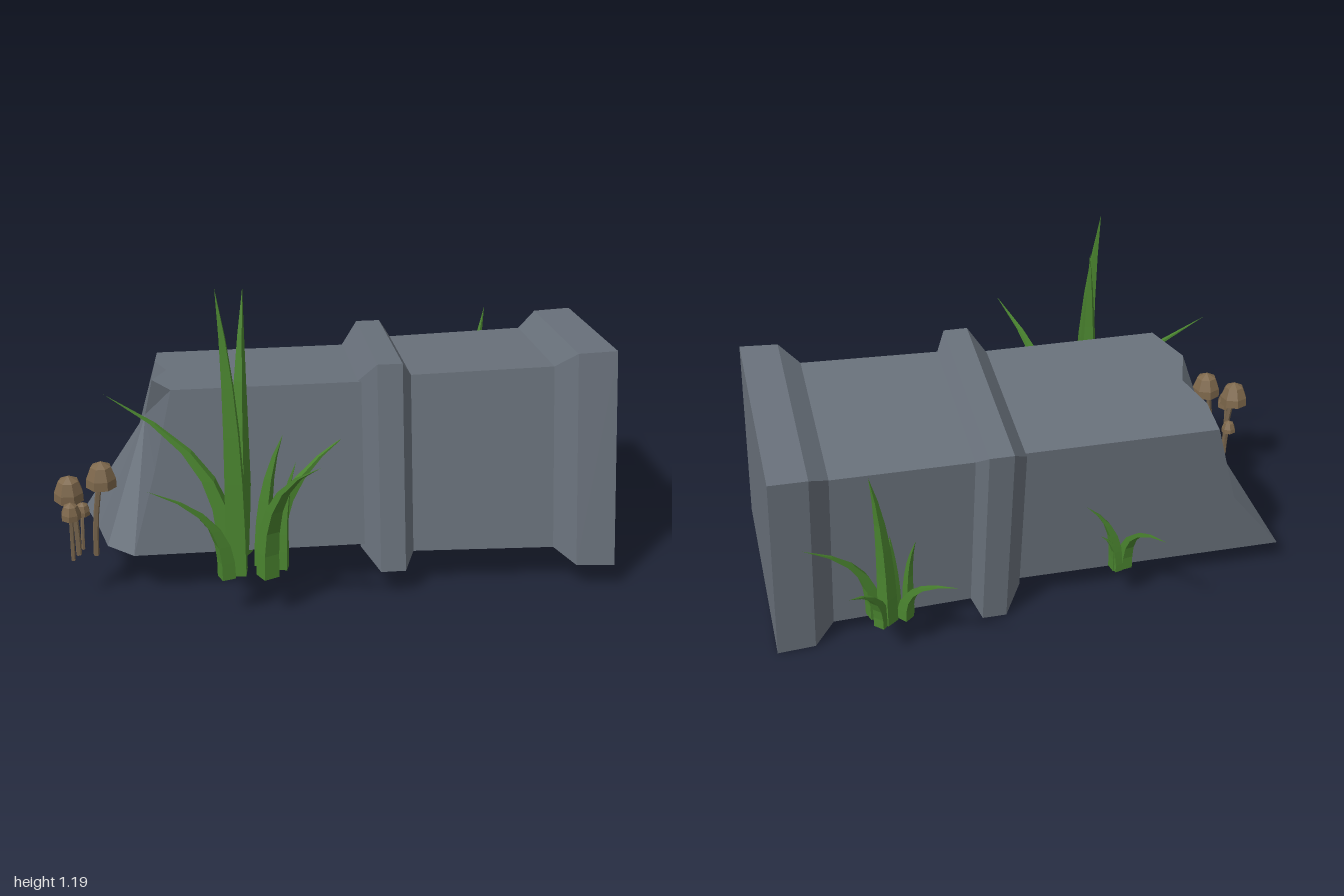
import * as THREE from 'three';

const mat = (color) => new THREE.MeshStandardMaterial({ color, flatShading: true, side: THREE.DoubleSide });
const GROUND = 0.15;

function add(parent, name, geometry, material) {
  const mesh = new THREE.Mesh(geometry, material);
  mesh.name = name;
  parent.add(mesh);
  return mesh;
}

// Square plinth, lower shaft and collar: four-sided lathe of [half width, distance along the column]
function columnBase() {
  const profile = [[0, 0], [0.4, 0], [0.395, 0.14], [0.34, 0.215], [0.33, 0.73], [0.385, 0.765], [0.385, 0.855], [0.31, 0.92]];
  const points = profile.map(([h, w]) => new THREE.Vector2(h * Math.SQRT2, w));
  return new THREE.LatheGeometry(points, 4, Math.PI / 4).rotateX(Math.PI / 2);
}

// Snapped shaft: walls run from the collar to a jagged outline, closed by a fan
function brokenShaft() {
  const back = -0.295, front = 0.325, low = -0.295, top = 0.312;
  const outline = [ // [u, v, distance along the column], counter-clockwise
    [back, top, 1.64], [back, -0.03, 1.74], [back, low, 1.95], [-0.03, low, 1.885], [0.2, low, 1.84], [front, low, 1.74],
    [front, 0.02, 1.65], [front, top, 1.58], [0.16, top, 1.65], [0.01, top, 1.6], [-0.14, top, 1.645],
  ];
  const apex = [-0.09, 0.12, 1.69];
  const pos = [];
  outline.forEach((a, i) => {
    const b = outline[(i + 1) % outline.length];
    const a0 = [a[0], a[1], 0.9], b0 = [b[0], b[1], 0.9];
    pos.push(...a0, ...b0, ...b, ...a0, ...b, ...a, ...a, ...b, ...apex);
  });
  const g = new THREE.BufferGeometry();
  g.setAttribute('position', new THREE.Float32BufferAttribute(pos, 3));
  g.computeVertexNormals();
  return g;
}

// Grass blade: a square rod, tapered to a point and bent outward
function blade([bx, bz], [tx, ty, tz], r) {
  const g = new THREE.CylinderGeometry(1, 1, 1, 4, 6);
  const p = g.attributes.position;
  g.rotateY(Math.atan2(tx - bx, tz - bz) + Math.PI / 4);
  for (let i = 0; i < p.count; i++) {
    const t = p.getY(i) + 0.5;
    const width = r * (1 - Math.pow(t, 1.9));
    const lean = Math.pow(t, 2.8);
    p.setXYZ(i, bx + (tx - bx) * lean + p.getX(i) * width, GROUND + (ty - GROUND) * t, bz + (tz - bz) * lean + p.getZ(i) * width);
  }
  g.computeVertexNormals();
  return g;
}

function mushroom(x, z, top, r, capMat, stemMat, footX, footZ) {
  const group = new THREE.Group();
  group.name = 'mushroom';
  const dome = [[0, 0.35], [0.8, 0.1], [1, 0], [0.98, 0.6], [0.68, 1.4], [0, 1.75]];
  const cap = add(group, 'mushroomCap',
    new THREE.LatheGeometry(dome.map(([a, b]) => new THREE.Vector2(a * r, b * r)), 7), capMat);
  cap.position.set(x, top - 1.75 * r, z);
  cap.rotation.set(0.08, x * 9, -0.06);
  const path = new THREE.QuadraticBezierCurve3(
    new THREE.Vector3(footX, GROUND + 0.01, footZ),
    new THREE.Vector3(footX, (GROUND + top) / 2, footZ),
    new THREE.Vector3(x, top - r, z));
  add(group, 'mushroomStem', new THREE.TubeGeometry(path, 4, 0.14 * r + 0.003, 5), stemMat);
  return group;
}

export function createModel() {
  const model = new THREE.Group();
  const stone = mat(0x69717b), grass = mat(0x4a842f), cap = mat(0x7d674b), stem = mat(0x75634c);

  // Fallen column, lying askew
  const w = new THREE.Vector3(-0.82, -0.013, 0.571).normalize();
  const u = new THREE.Vector3(0.575, 0.11, 0.81);
  u.addScaledVector(w, -u.dot(w)).normalize();
  const v = new THREE.Vector3().crossVectors(w, u);
  const column = new THREE.Group();
  column.name = 'fallenColumn';
  column.quaternion.setFromRotationMatrix(new THREE.Matrix4().makeBasis(u, v, w));
  column.position.set(0.743, 0.442, -0.56);
  add(column, 'columnBase', columnBase(), stone);
  add(column, 'brokenShaft', brokenShaft(), stone);
  model.add(column);

  // Grass clumps: [foot x z], [tip x y z], half width
  const clumps = {
    frontGrass: [
      [[-0.1, 0.63], [-0.145, 1.195, 0.655], 0.05],
      [[-0.17, 0.49], [-0.175, 1.14, 0.44], 0.042],
      [[-0.18, 0.57], [-0.55, 0.78, 0.76], 0.042],
      [[0.01, 0.6], [0.33, 0.69, 0.77], 0.042],
      [[-0.04, 0.46], [0.13, 0.59, 0.23], 0.035],
      [[-0.11, 0.68], [-0.27, 0.53, 0.91], 0.035],
      [[-0.05, 0.53], [0.03, 0.66, 0.52], 0.036],
      [[0.02, 0.52], [0.07, 0.56, 0.5], 0.03],
    ],
    backGrass: [
      [[0.17, -0.7], [0.19, 0.8, -0.76], 0.036],
      [[0.18, -0.73], [0.21, 0.39, -0.915], 0.03],
      [[0.23, -0.69], [0.39, 0.53, -0.89], 0.032],
      [[0.12, -0.66], [-0.125, 0.4, -0.73], 0.03],
      [[0.165, -0.65], [0.17, 0.5, -0.66], 0.024],
      [[0.12, -0.635], [0.07, 0.5, -0.66], 0.022],
    ],
    sideGrass: [
      [[-0.52, -0.09], [-0.73, 0.46, -0.3], 0.028],
      [[-0.49, -0.11], [-0.4, 0.46, -0.2], 0.028],
      [[-0.5, -0.12], [-0.45, 0.33, -0.18], 0.022],
    ],
  };
  for (const [name, blades] of Object.entries(clumps)) {
    const clump = new THREE.Group();
    clump.name = name;
    blades.forEach(([foot, tip, r]) => add(clump, 'grassBlade', blade(foot, tip, r), grass));
    model.add(clump);
  }

  // Mushrooms by the broken end: x, z, top height, cap radius, foot x, foot z
  [
    [-0.685, 0.815, 0.47, 0.054, -0.66, 0.81],
    [-0.58, 0.76, 0.525, 0.055, -0.605, 0.78],
    [-0.645, 0.86, 0.39, 0.036, -0.65, 0.855],
    [-0.69, 0.74, 0.335, 0.028, -0.675, 0.765],
  ].forEach(([x, z, top, r, fx, fz]) => model.add(mushroom(x, z, top, r, cap, stem, fx, fz)));

  return model;
}
